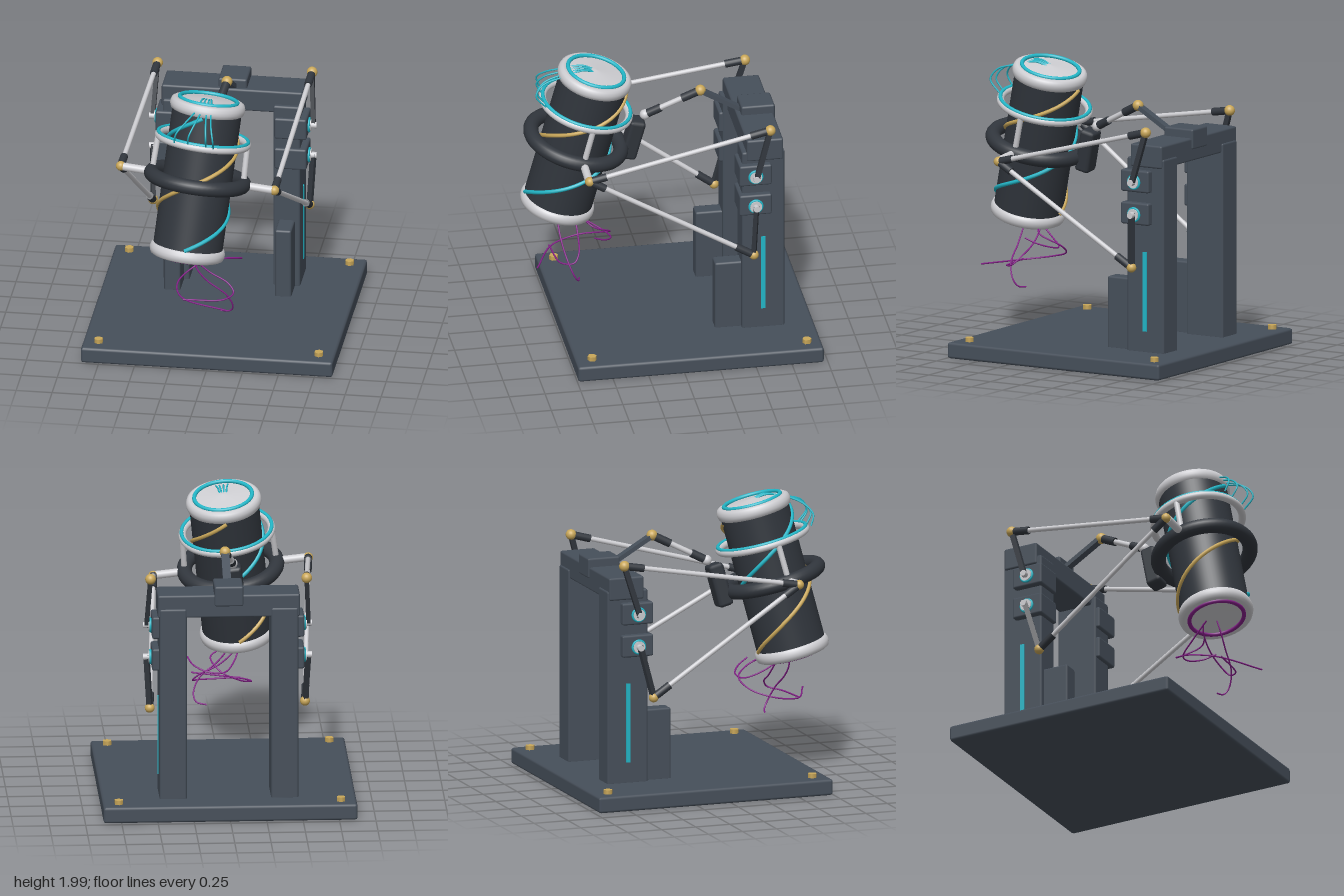
import * as THREE from 'three';
import { RoundedBoxGeometry } from 'three/addons/geometries/RoundedBoxGeometry.js';

const mat = (name, color) => Object.assign(new THREE.MeshStandardMaterial({ color }), { name });
const M = {
  frame: mat('slate frame', 0x464f5a),
  dark: mat('charcoal', 0x31363d),
  light: mat('light grey', 0xcdcdd1),
  brass: mat('brass', 0xc9a759),
  cyan: mat('cyan', 0x22b5c6),
  violet: mat('violet', 0x86208a),
};
const V = (a) => new THREE.Vector3(...a);

function add(parent, name, geo, material, pos = [0, 0, 0]) {
  const m = new THREE.Mesh(geo, material);
  m.name = name;
  m.position.set(...pos);
  parent.add(m);
  return m;
}

// chamfered box given by its min and max corners
function box(parent, name, lo, hi, material = M.frame, r = 0.014) {
  const s = hi.map((v, i) => v - lo[i]);
  return add(parent, name, new RoundedBoxGeometry(...s, 1, r), material, hi.map((v, i) => (v + lo[i]) / 2));
}

// lay a y-aligned geometry between two points
function span(parent, name, a, b, make, material) {
  const p = V(a), d = V(b).sub(p), len = d.length();
  const m = add(parent, name, make(len), material);
  m.position.copy(p).addScaledVector(d, 0.5);
  m.quaternion.setFromUnitVectors(new THREE.Vector3(0, 1, 0), d.divideScalar(len));
  return m;
}
const rod = (r) => (len) => new THREE.CylinderGeometry(r, r, len, 16);
const bar = (w, d) => (len) => new THREE.BoxGeometry(w, len, d);
const ball = (parent, name, p, r = 0.034, material = M.brass) =>
  add(parent, name, new THREE.SphereGeometry(r, 20, 14), material, p);

// light rod with dark sleeves at both ends
function pushRod(parent, a, b, r = 0.017) {
  const A = V(a), B = V(b), d = B.clone().sub(A).normalize();
  const at = (p, t) => p.clone().addScaledVector(d, t).toArray();
  span(parent, 'pushRod', a, b, rod(r), M.light);
  span(parent, 'rodSleeve', at(A, 0.02), at(A, 0.14), rod(r + 0.01), M.dark);
  span(parent, 'rodSleeve', at(B, -0.12), at(B, -0.02), rod(r + 0.01), M.dark);
}

function wire(parent, name, pts, r, material, n = 48) {
  const c = new THREE.CatmullRomCurve3(pts.map(V));
  return add(parent, name, new THREE.TubeGeometry(c, n, r, 8), material);
}

function ring(parent, name, R, r, y, material) {
  const m = add(parent, name, new THREE.TorusGeometry(R, r, 16, 64), material, [0, y, 0]);
  m.rotation.x = Math.PI / 2;
  return m;
}

function buildStand(g) {
  box(g, 'basePlate', [-0.875, 0, -0.972], [0.875, 0.112, 0.745], M.frame, 0.018);
  for (const x of [-0.765, 0.765]) for (const z of [-0.87, 0.63])
    add(g, 'baseBolt', new THREE.CylinderGeometry(0.032, 0.032, 0.04, 6).toNonIndexed(), M.brass, [x, 0.122, z]);

  for (const s of [-1, 1]) {
    const sideBox = (name, x0, x1, y0, y1, z0, z1) =>
      box(g, name, [Math.min(s * x0, s * x1), y0, z0], [Math.max(s * x0, s * x1), y1, z1]);
    sideBox('post', 0.29, 0.478, 0.1, 1.465, -0.765, -0.468);
    sideBox('postFoot', 0.328, 0.442, 0.1, 0.608, -0.5, -0.285);
    add(g, 'lightStrip', new THREE.BoxGeometry(0.009, 0.555, 0.03), M.cyan, [s * 0.48, 0.533, -0.615]);
    // two motors with output hubs
    for (const y of [1.305, 1.078]) {
      sideBox('motor', 0.3, 0.525, y - 0.077, y + 0.077, -0.67, -0.443);
      const y0 = y - 0.005;
      span(g, 'motorHub', [s * 0.5, y0, -0.555], [s * 0.545, y0, -0.555], rod(0.042), M.light);
      const t = add(g, 'motorRing', new THREE.TorusGeometry(0.044, 0.009, 10, 32), M.cyan, [s * 0.53, y0, -0.555]);
      t.rotation.y = Math.PI / 2;
      span(g, 'motorShaft', [s * 0.54, y0, -0.555], [s * 0.582, y0, -0.555], rod(0.022), M.light);
    }
  }
  box(g, 'topBeam', [-0.49, 1.4, -0.755], [0.49, 1.56, -0.5]);
  box(g, 'beamBlock', [-0.1, 1.48, -0.765], [0.1, 1.622, -0.53]);
}

function buildLinkage(g) {
  const sides = [
    { tip: [0.45, 1.326, 0.59], up: [0.535, 1.655, -0.655], low: [0.535, 0.703, -0.54], s: 1 },
    { tip: [-0.617, 1.442, 0.59], up: [-0.54, 1.652, -0.665], low: [-0.54, 0.712, -0.45], s: -1 },
  ];
  for (const { tip, up, low, s } of sides) {
    span(g, 'upperCrank', [s * 0.558, 1.29, -0.555], up, bar(0.03, 0.036), M.dark);
    span(g, 'lowerCrank', [s * 0.558, 1.085, -0.555], low, bar(0.03, 0.036), M.dark);
    pushRod(g, up, tip);
    pushRod(g, low, tip);
    ball(g, 'upperJoint', up, 0.037);
    ball(g, 'lowerJoint', low);
    ball(g, 'tipJoint', tip);
  }
  // central link
  const c = [0, 1.73, -0.26], e = [-0.07, 1.54, 0.115];
  span(g, 'centreCrank', [0, 1.56, -0.55], c, bar(0.056, 0.03), M.frame);
  pushRod(g, c, e, 0.019);
  ball(g, 'centreJoint', c, 0.038);
  ball(g, 'bracketJoint', e, 0.036, M.light);
}

// tilted barrel with gimbal ring, halo and spiral bands
function buildBarrel(root) {
  const g = new THREE.Group();
  g.name = 'barrel';
  g.position.set(-0.083, 1.385, 0.595);
  g.rotation.set(-0.237, 0, -0.107, 'ZXY');
  root.add(g);

  add(g, 'barrelBody', new THREE.CylinderGeometry(0.24, 0.24, 1.04, 64), M.dark);
  // rounded end collars with shallow domes
  for (const s of [-1, 1]) {
    const pts = [[0.2, 0.47], [0.235, 0.472], [0.252, 0.482], [0.26, 0.505], [0.26, 0.525], [0.252, 0.548],
      [0.235, 0.558], [0.215, 0.558], [0.2, 0.55], [0, s > 0 ? 0.575 : 0.545]].map(([x, y]) => new THREE.Vector2(x, s * y));
    if (s < 0) pts.reverse();
    add(g, s > 0 ? 'topCap' : 'bottomCap', new THREE.LatheGeometry(pts, 64), M.light);
  }
  ring(g, 'topCapRing', 0.2, 0.014, 0.56, M.cyan);
  ring(g, 'bottomCapRing', 0.19, 0.014, -0.555, M.violet);

  ring(g, 'gimbalRing', 0.32, 0.052, 0, M.dark);
  ring(g, 'haloRing', 0.308, 0.026, 0.275, M.light);
  ring(g, 'haloLight', 0.312, 0.013, 0.297, M.cyan);
  for (const s of [-1, 1]) {
    span(g, 'haloStrut', [s * 0.318, 0.02, 0], [s * 0.31, 0.275, 0], rod(0.02), M.light);
    span(g, 'gimbalStub', [s * 0.35, 0, 0], [s * 0.52, 0, 0], rod(0.028), M.light);
  }
  box(g, 'rearBracket', [-0.065, -0.08, -0.445], [0.065, 0.225, -0.335], M.dark, 0.025);

  // two interleaved one-turn spirals
  [['cyanSpiral', 0, M.cyan], ['brassSpiral', Math.PI, M.brass]].forEach(([name, start, m]) => {
    const pts = [];
    for (let i = 0; i <= 40; i++) {
      const a = start + (i / 40) * Math.PI * 2;
      pts.push([0.244 * Math.sin(a), -0.47 + 0.94 * i / 40, 0.244 * Math.cos(a)]);
    }
    wire(g, name, pts, 0.014, m, 120);
  });

  // fine strands arching from the cap to the halo
  [[-0.06, -0.16], [-0.02, -0.07], [0.02, 0.05], [0.05, 0.1]].forEach(([x0, x1], i) => {
    const out = 0.33 + 0.016 * i;
    wire(g, 'upperStrand', [[x0 * 0.4, 0.565, 0.02], [x0 * 0.6, 0.573, 0.1], [x0, 0.51, 0.24],
      [(x0 + x1) / 2, 0.44, out - 0.01], [x1, 0.36, out + 0.02], [x1 * 1.05, 0.29, 0.31]], 0.006, M.cyan);
  });
}

function buildLowerStrands(g) {
  const strands = [
    [[-0.1, 0.86, 0.7], [-0.07, 0.76, 0.72], [0, 0.67, 0.715], [0.13, 0.56, 0.69], [0.17, 0.46, 0.65], [0.15, 0.41, 0.62], [0.08, 0.395, 0.6]],
    [[-0.14, 0.84, 0.62], [-0.1, 0.77, 0.6], [0, 0.68, 0.595], [0.13, 0.61, 0.61], [0.175, 0.56, 0.65], [0.12, 0.54, 0.73], [-0.16, 0.54, 0.77]],
    [[-0.12, 0.83, 0.6], [0.06, 0.77, 0.5], [-0.01, 0.69, 0.37], [-0.14, 0.62, 0.41], [-0.225, 0.57, 0.56], [-0.17, 0.54, 0.74], [0.17, 0.54, 0.91]],
    [[-0.15, 0.84, 0.65], [-0.11, 0.74, 0.52], [-0.03, 0.68, 0.4], [0.08, 0.69, 0.38], [0.18, 0.725, 0.44], [0.22, 0.765, 0.52]],
  ];
  for (const s of strands) wire(g, 'lowerStrand', s, 0.0055, M.violet, 64);
}

export function createModel() {
  const g = new THREE.Group();
  g.name = 'gimbalRig';
  buildStand(g);
  buildLinkage(g);
  buildBarrel(g);
  buildLowerStrands(g);
  return g;
}
